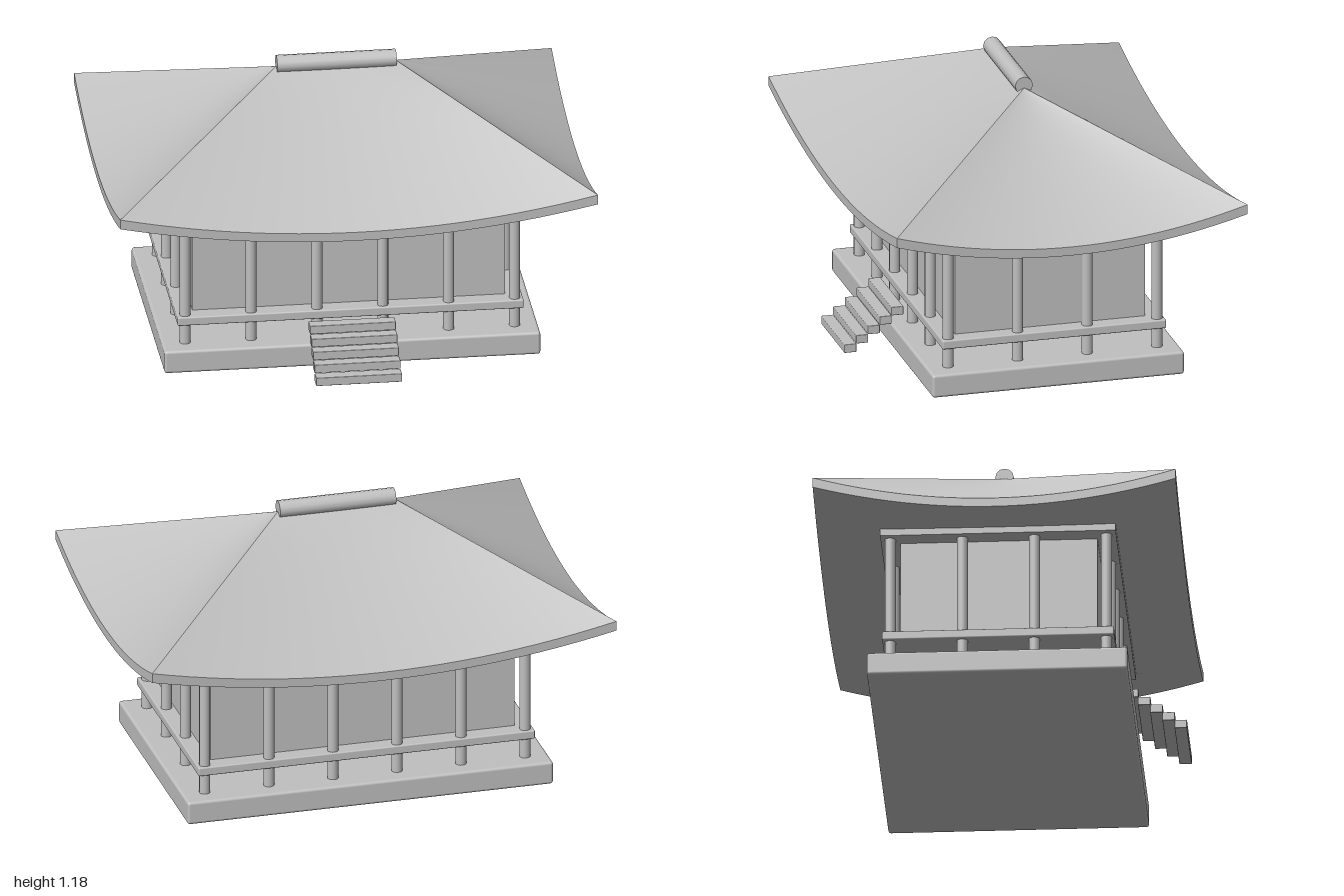
import * as THREE from 'three';
import { RoundedBoxGeometry } from 'three/addons/geometries/RoundedBoxGeometry.js';
import { ParametricGeometry } from 'three/addons/geometries/ParametricGeometry.js';

export function createModel() {
  const model = new THREE.Group();
  model.name = 'pavilion';
  const stone = new THREE.MeshStandardMaterial({ color: 0xc0c0c0 });
  stone.name = 'plain grey';

  const add = (name, geometry, x = 0, y = 0, z = 0, parent = model) => {
    const mesh = new THREE.Mesh(geometry, stone);
    mesh.name = name;
    mesh.position.set(x, y, z);
    parent.add(mesh);
    return mesh;
  };
  const group = (name) => {
    const g = new THREE.Group();
    g.name = name;
    model.add(g);
    return g;
  };
  // Softened block standing on height y0
  const block = (name, w, y0, y1, d, r, x = 0, z = 0, parent = model) =>
    add(name, new RoundedBoxGeometry(w, y1 - y0, d, 2, r), x, (y0 + y1) / 2, z, parent);

  // Foundation, raised floor, hall and ceiling plate
  block('foundation', 1.575, 0, 0.1, 1.085, 0.012);
  block('raisedFloor', 1.45, 0.187, 0.225, 0.965, 0.006);
  add('hallWalls', new THREE.BoxGeometry(1.31, 0.45, 0.82), 0, 0.44, 0);
  add('ceilingPlate', new THREE.BoxGeometry(1.475, 0.03, 0.98), 0, 0.672, 0);

  // Posts around the veranda
  const posts = group('posts');
  const postGeometry = new THREE.CylinderGeometry(0.023, 0.023, 0.57, 16);
  for (let i = 0; i < 6; i++) {
    for (let j = 0; j < 4; j++) {
      if (i % 5 && j % 3) continue;
      add('post', postGeometry, -0.69 + i * 0.276, 0.38, -0.45 + j * 0.3, posts);
    }
  }

  // Front steps
  const steps = group('frontSteps');
  for (let i = 0; i < 5; i++) {
    block('step', 0.36, 0.004 + i * 0.0365, 0.041 + i * 0.0365, 0.052, 0.003,
      0, 0.729 - i * 0.0507, steps);
  }

  // Hipped roof: each side runs straight from a sagging eave to the ridge
  const roof = group('roof');
  const X = 1, Z = 0.755, RIDGE = 0.25;
  const corners = [[-1, 1], [1, 1], [1, -1], [-1, -1]];
  const eaveTop = (t) => 0.695 + 0.112 * t * t;
  const eaveBottom = (t) => 0.657 + 0.108 * t * t;
  const sideNames = ['front', 'left', 'back', 'right'];

  sideNames.forEach((side, k) => {
    const a = corners[k], b = corners[(k + 1) % 4];
    const sx = (u) => a[0] + (b[0] - a[0]) * u;
    const sz = (u) => a[1] + (b[1] - a[1]) * u;
    const surface = (name, fn) => add(side + name, new ParametricGeometry(fn, 24, 6), 0, 0, 0, roof);

    surface('RoofSlope', (u, v, p) => {
      const y = eaveTop(2 * u - 1);
      p.set(sx(u) * (X + (RIDGE - X) * v), y + (1.13 - y) * v, sz(u) * Z * (1 - v));
    });
    surface('EaveEdge', (u, v, p) => {
      const t = 2 * u - 1;
      p.set(sx(u) * X, eaveBottom(t) + (eaveTop(t) - eaveBottom(t)) * v, sz(u) * Z);
    });
    surface('Soffit', (u, v, p) => {
      const y = eaveBottom(2 * u - 1);
      p.set(sx(u) * (0.73 + (X - 0.73) * v), 0.685 + (y - 0.685) * v, sz(u) * (0.485 + (Z - 0.485) * v));
    });
  });

  // Ridge log
  const ridge = add('ridgeLog', new THREE.CylinderGeometry(0.038, 0.038, 0.5, 12), 0, 1.14, 0);
  ridge.rotation.z = Math.PI / 2;

  return model;
}
